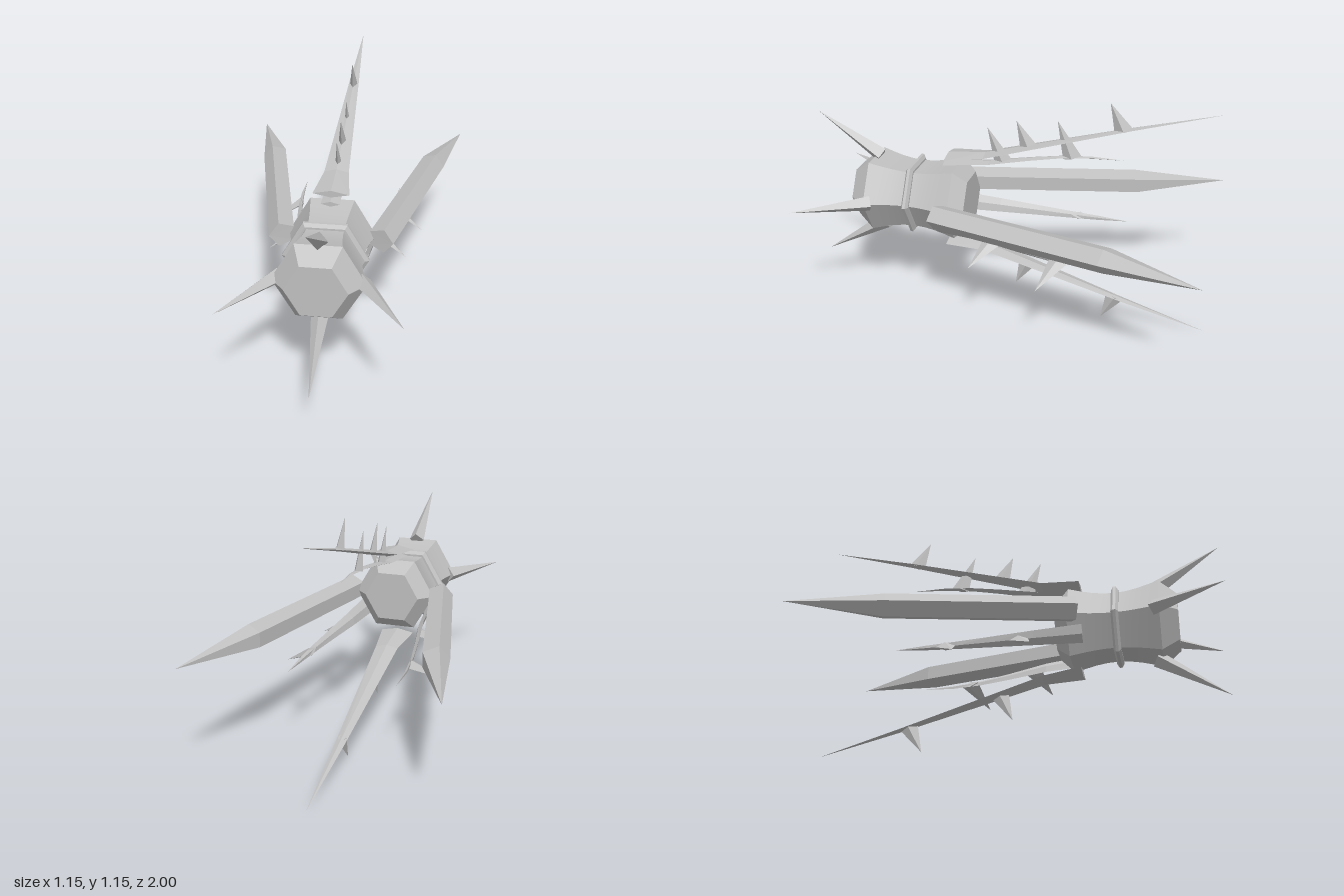
import * as THREE from 'three';
import { toCreasedNormals } from 'three/addons/utils/BufferGeometryUtils.js';

const CENTRE_Y = 0.575;

// Joins equal-sized cross-sections into a closed solid; a one-point section makes a tip.
function loft(rings) {
  const pos = [];
  const tri = (a, b, c) => pos.push(...a, ...b, ...c);
  const n = rings[0].length;
  for (let k = 0; k < rings.length - 1; k++) {
    const f = rings[k], g = rings[k + 1];
    for (let i = 0; i < n; i++) {
      const j = (i + 1) % n;
      if (g.length === 1) {
        tri(f[i], g[0], f[j]);
      } else {
        tri(f[i], g[j], f[j]);
        tri(f[i], g[i], g[j]);
      }
    }
  }
  const first = rings[0], last = rings[rings.length - 1];
  for (let i = 1; i < n - 1; i++) {
    tri(first[0], first[i], first[i + 1]);
    if (last.length > 1) tri(last[0], last[i + 1], last[i]);
  }
  const geo = new THREE.BufferGeometry();
  geo.setAttribute('position', new THREE.Float32BufferAttribute(pos, 3));
  geo.computeVertexNormals();
  return geo;
}

// Hexagonal solid along z from [z, radius] pairs
function hexSolid(profile) {
  const rings = profile.map(([z, r]) => Array.from({ length: 6 }, (_, i) => {
    const a = i * Math.PI / 3;
    return [r * Math.cos(a), r * Math.sin(a), z];
  }));
  return toCreasedNormals(loft(rings), 0.4);
}

export function createModel() {
  const model = new THREE.Group();
  const grey = new THREE.MeshStandardMaterial({ color: 0xc0c0c0 });
  grey.name = 'greyMetal';

  const add = (parent, name, geo) => {
    const mesh = new THREE.Mesh(geo, grey);
    mesh.name = name;
    parent.add(mesh);
  };
  // Arms are built pointing up (+y = outward), then turned around the body axis
  const arm = (name, degrees) => {
    const g = new THREE.Group();
    g.name = name;
    g.position.y = CENTRE_Y;
    g.rotation.z = THREE.MathUtils.degToRad(degrees);
    model.add(g);
    return g;
  };

  // Waisted hexagonal body with bevelled ends, and its thin collar
  const core = arm('core', 0);
  const waist = Array.from({ length: 9 }, (_, i) => {
    const u = i / 8;
    return [0.695 - 0.435 * u, 0.21 - 0.004 * u - 0.04 * Math.sin(Math.PI * u)];
  });
  add(core, 'body', hexSolid([[0.78, 0.14], ...waist, [0.195, 0.14]]));
  add(core, 'collar', hexSolid([[0.503, 0.18], [0.492, 0.199], [0.478, 0.199], [0.467, 0.18]]));

  // Leaning thorn on a diamond base
  const thorn = (parent, r, z, tipR, tipZ) => add(parent, 'thorn', loft([
    [[0.02, r, z], [0, r - 0.012, z + 0.045], [-0.02, r, z], [0, r + 0.012, z - 0.045]],
    [[0, tipR, tipZ]],
  ]));

  // Four front spikes flaring forward
  for (const deg of [0, 90, 180, 270]) {
    add(arm('frontSpike', deg), 'spike', loft([
      [[0.04, 0.185, 0.668], [0, 0.15, 0.69], [-0.04, 0.185, 0.668], [0, 0.22, 0.646]],
      [[0, 0.392, 1]],
    ]));
  }

  // Thick side blades
  const bladeSection = (dr, dz) => [
    [0, 0.292, 0.33], [-0.06, 0.247, 0.313], [-0.035, 0.18, 0.285],
    [0.035, 0.18, 0.285], [0.06, 0.247, 0.313],
  ].map(([t, r, z]) => [t, r + dr, z + dz]);
  for (const deg of [-90, 90]) {
    add(arm('sideBlade', deg), 'blade', loft([
      bladeSection(0, 0), bladeSection(0.2, -0.865), [[0, 0.573, -1]],
    ]));
  }

  // Thin ridged strip from [z, outward distance, half width, half thickness] stations
  const strip = (stations, tip) => loft([
    ...stations.map(([z, r, w, h]) => [[0, r + h, z], [-w, r, z], [0, r - h, z], [w, r, z]]),
    [tip],
  ]);

  // Top and bottom blades with two thorns each
  for (const deg of [0, 180]) {
    const g = arm('spineBlade', deg);
    add(g, 'blade', strip([
      [0.31, 0.228, 0.085, 0.017], [0.12, 0.25, 0.058, 0.014], [-0.58, 0.455, 0.024, 0.008],
    ], [0, 0.57, -1]));
    thorn(g, 0.308, -0.1, 0.443, -0.035);
    thorn(g, 0.442, -0.55, 0.575, -0.48);
  }

  // Three curved tendrils with two thorns each
  for (const deg of [0, 120, 240]) {
    const g = arm('tendril', deg);
    add(g, 'ribbon', strip([
      [0.33, 0.187, 0.045, 0.012], [0.1, 0.212, 0.035, 0.01], [-0.1, 0.253, 0.025, 0.008],
      [-0.25, 0.28, 0.018, 0.007], [-0.4, 0.295, 0.011, 0.006],
    ], [0, 0.297, -0.56]));
    thorn(g, 0.225, 0.03, 0.395, 0.11);
    thorn(g, 0.283, -0.31, 0.463, -0.235);
  }

  return model;
}
